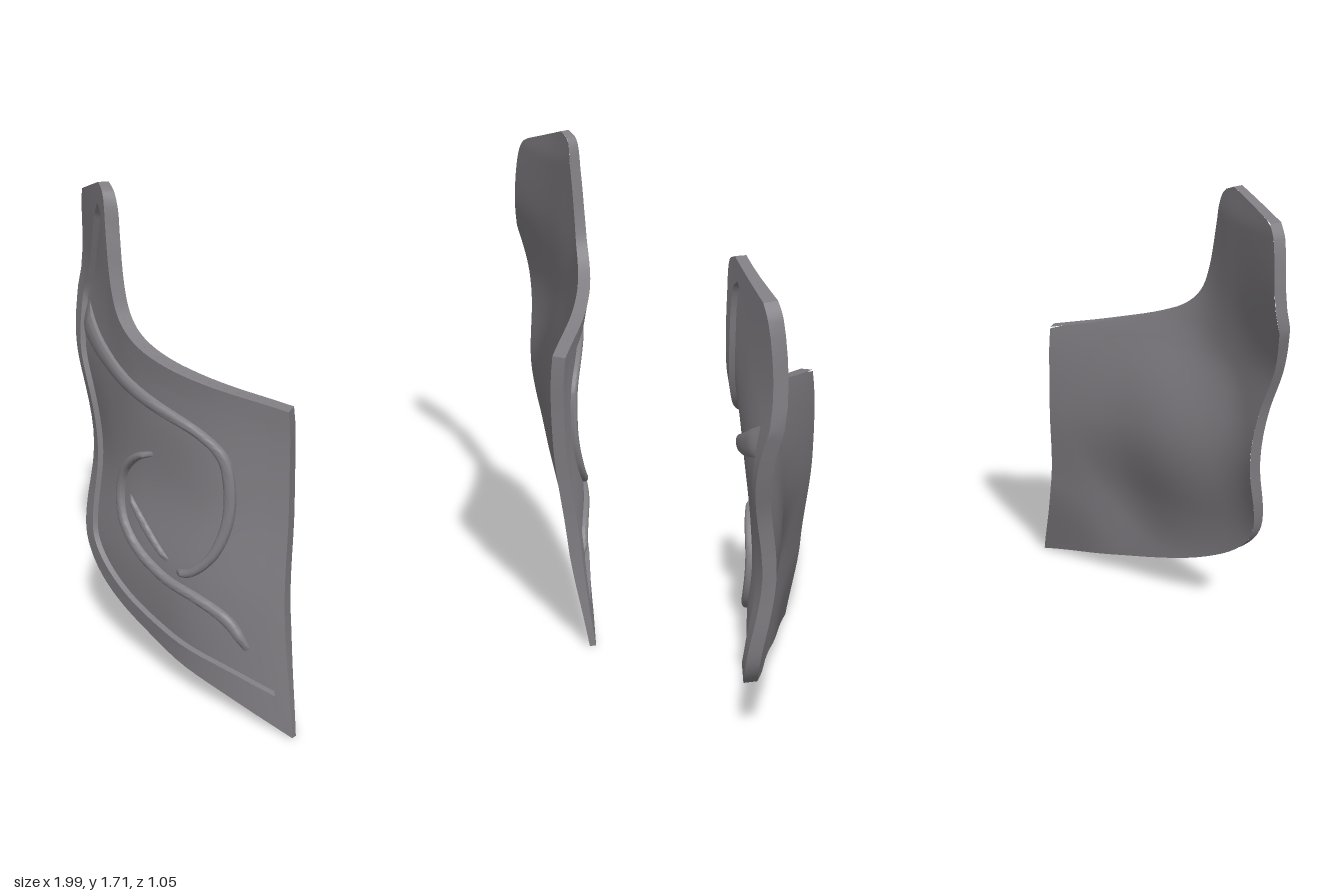
import * as THREE from 'three';
import { toCreasedNormals } from 'three/addons/utils/BufferGeometryUtils.js';

// Panel rim: [outer z, outer y, inner z, inner y], from the lower tip up the front and round
const RIM_POINTS = [
  [0.525, 0.005, 0.445, 0.125], [0.45, 0.28, 0.395, 0.32], [0.39, 0.6, 0.335, 0.62],
  [0.365, 0.86, 0.315, 0.85], [0.36, 1.08, 0.31, 1.03], [0.2, 1.13, 0.16, 1.07],
  [0.07, 1.18, 0.02, 1.12], [-0.03, 1.24, -0.07, 1.19], [-0.09, 1.31, -0.12, 1.28],
  [-0.125, 1.41, -0.16, 1.4], [-0.155, 1.56, -0.195, 1.57], [-0.185, 1.685, -0.22, 1.62],
  [-0.235, 1.71, -0.255, 1.64], [-0.46, 1.64, -0.3, 1.59], [-0.49, 1.59, -0.33, 1.53],
  [-0.525, 1.29, -0.455, 1.28], [-0.47, 1.1, -0.43, 1.1], [-0.43, 0.95, -0.39, 0.95],
  [-0.41, 0.7, -0.36, 0.7], [-0.4, 0.55, -0.345, 0.55], [-0.37, 0.42, -0.32, 0.44],
  [-0.3, 0.325, -0.25, 0.36], [-0.15, 0.225, -0.1, 0.265], [0.05, 0.14, 0.08, 0.205],
  [0.28, 0.075, 0.27, 0.165], [0.525, 0.005, 0.445, 0.125]
];
const CORNERS = [0, 4, 12, 13, 15, 25];

// Smooth the rim between its corners
const RIM = [];
let APEX = 0;
for (let c = 0; c < CORNERS.length - 1; c++) {
  const part = RIM_POINTS.slice(CORNERS[c], CORNERS[c + 1] + 1);
  const curve = k => new THREE.CatmullRomCurve3(
    part.map(p => new THREE.Vector3(p[k], p[k + 1], 0)), false, 'centripetal');
  const outer = curve(0), inner = curve(2), n = (part.length - 1) * 5;
  if (CORNERS[c] === 12) APEX = RIM.length;
  for (let i = 0; i < n; i++) {
    const a = outer.getPoint(i / n), b = inner.getPoint(i / n);
    RIM.push([a.x, a.y, b.x, b.y]);
  }
}

// Distance of the curved outer face from the centre, by height and depth
const ZS = [-0.5, -0.25, -0.05, 0.15, 0.35, 0.55];
const YS = [0, 0.4, 0.75, 1.1, 1.4, 1.75];
const XS = [
  [1.0, 0.96, 0.89, 0.82, 0.715, 0.585],
  [1.02, 0.97, 0.9, 0.8, 0.635, 0.46],
  [0.93, 0.92, 0.86, 0.74, 0.545, 0.36],
  [0.945, 0.92, 0.865, 0.725, 0.52, 0.32],
  [0.885, 0.9, 0.89, 0.8, 0.6, 0.4],
  [0.875, 0.88, 0.88, 0.85, 0.75, 0.6]
];

// Smooth interpolation of values vs at the positions ps
function spline(ps, vs, p) {
  let i = 0;
  while (i < ps.length - 2 && p > ps[i + 1]) i++;
  const slope = k => {
    const a = Math.max(k - 1, 0), b = Math.min(k + 1, ps.length - 1);
    return (vs[b] - vs[a]) / (ps[b] - ps[a]);
  };
  const h = ps[i + 1] - ps[i], t = (p - ps[i]) / h, t2 = t * t, t3 = t2 * t;
  return (2 * t3 - 3 * t2 + 1) * vs[i] + (t3 - 2 * t2 + t) * h * slope(i) +
    (3 * t2 - 2 * t3) * vs[i + 1] + (t3 - t2) * h * slope(i + 1);
}
const baseX = (z, y) => spline(YS, XS.map(row => spline(ZS, row, z)), y);

// Point on the outer face, moved along its normal by d
function onFace(z, y, d) {
  const e = 0.01, x = baseX(z, y);
  const n = new THREE.Vector3(1,
    -(baseX(z, y + e) - baseX(z, y - e)) / (2 * e),
    -(baseX(z + e, y) - baseX(z - e, y)) / (2 * e)).normalize();
  return new THREE.Vector3(x, y, z).addScaledVector(n, d);
}

// Grid of nu by nv cells; flip turns its front round, side -1 mirrors it
function gridGeometry(nu, nv, fn, side, flip = false) {
  const pos = [], idx = [];
  for (let j = 0; j <= nv; j++) for (let i = 0; i <= nu; i++) {
    const p = fn(i, j);
    pos.push(p.x * side, p.y, p.z);
  }
  const reverse = flip !== (side < 0);
  for (let j = 0; j < nv; j++) for (let i = 0; i < nu; i++) {
    const a = j * (nu + 1) + i, b = a + 1, c = b + nu + 1, d = a + nu + 1;
    if (reverse) idx.push(a, c, b, a, d, c);
    else idx.push(a, b, c, a, c, d);
  }
  const g = new THREE.BufferGeometry();
  g.setAttribute('position', new THREE.Float32BufferAttribute(pos, 3));
  g.setIndex(idx);
  return toCreasedNormals(g, 0.6);
}

// Depth of an outline chain at height y
function chainZ(chain, y) {
  let i = 0;
  while (i < chain.length - 2 && y > chain[i + 1][1]) i++;
  const [z0, y0] = chain[i], [z1, y1] = chain[i + 1];
  return THREE.MathUtils.lerp(z0, z1, THREE.MathUtils.clamp((y - y0) / (y1 - y0), 0, 1));
}
const FRONT = RIM.slice(0, APEX + 1);
const BACK = [RIM[0], ...RIM.slice(APEX).reverse()];
const ROWS = 110, COLS = 40, RECESS = 0.018;

function sheet(side, depth, flip) {
  return gridGeometry(COLS, ROWS, (i, j) => {
    const y = THREE.MathUtils.lerp(RIM[0][1], RIM[APEX][1], j / ROWS);
    const z = THREE.MathUtils.lerp(chainZ(FRONT, y), chainZ(BACK, y), i / COLS);
    return onFace(z, y, -depth(z, y));
  }, side, flip);
}

// Soft swelling, 1 at the middle and 0 at radius
function swell(z, y, z0, y0, rz, ry) {
  const q = Math.max(0, 1 - ((z - z0) / rz) ** 2 - ((y - y0) / ry) ** 2);
  return q * q;
}
// Wall thins at the lower tip and the top; the lining is fuller in the middle
const thickness = (z, y) => 0.045 - 0.022 * swell(z, y, 0.525, 0, 0.3, 0.4) -
  0.015 * swell(z, y, -0.33, 1.75, 0.35, 0.16);
const dish = (z, y) => RECESS + 0.012 * swell(z, y, 0.04, 0.7, 0.2, 0.27);
const lining = (z, y) => thickness(z, y) + 0.065 * swell(z, y, -0.04, 0.68, 0.37, 0.5);

// Raised border with its outer wall and inner step
function rim(side) {
  return gridGeometry(3, RIM.length, (i, j) => {
    const [z, y, zi, yi] = RIM[j % RIM.length];
    if (i === 0) return onFace(z, y, -thickness(z, y));
    if (i === 1) return onFace(z, y, 0);
    if (i === 2) return onFace(zi, yi, 0);
    return onFace(z + (zi - z) * 1.06, y + (yi - y) * 1.06, -RECESS - 0.004);
  }, side);
}

// Rounded ridge lying on the face; points are [z, y, half width]
function ridge(points, height, side) {
  const curve = new THREE.CatmullRomCurve3(points.map(p => new THREE.Vector3(p[0], p[1], p[2])));
  const n = points.length * 7, m = 8;
  return gridGeometry(m, n, (i, j) => {
    const p = curve.getPoint(j / n), t = curve.getTangent(j / n);
    const len = Math.hypot(t.x, t.y), a = Math.PI * i / m;
    const w = -Math.cos(a) * p.z / len;
    const end = Math.min(1, Math.min(j, n - j) / 4);
    const z = p.x - t.y * w, y = p.y + t.x * w;
    return onFace(z, y, -dish(z, y) - 0.004 + Math.sqrt(Math.max(0, Math.sin(a))) * height * end);
  }, side);
}

// Long sweep from the back edge, curling into the open loop
const LOOP = [
  [-0.475, 1.24, 0.052], [-0.3, 1.155, 0.038], [-0.15, 1.09, 0.028], [0, 1.025, 0.022],
  [0.14, 0.955, 0.016], [0.2, 0.89, 0.015], [0.225, 0.76, 0.015], [0.222, 0.63, 0.015],
  [0.195, 0.535, 0.015], [0.14, 0.47, 0.015], [0.085, 0.455, 0.01]
];
const BAR = [[0.06, 0.475, 0.008], [-0.02, 0.535, 0.013], [-0.09, 0.6, 0.013], [-0.15, 0.665, 0.006]];
const HOOK = [
  [-0.025, 0.842, 0.008], [-0.1, 0.81, 0.013], [-0.17, 0.74, 0.016], [-0.19, 0.655, 0.018],
  [-0.16, 0.56, 0.018], [-0.08, 0.48, 0.018], [0.04, 0.42, 0.018], [0.17, 0.385, 0.018],
  [0.27, 0.33, 0.018], [0.34, 0.235, 0.01]
];

export function createModel() {
  const model = new THREE.Group();
  const grey = new THREE.MeshStandardMaterial({ color: 0x807d82 });
  grey.name = 'warmGrey';

  for (const side of [1, -1]) {
    const panel = new THREE.Group();
    panel.name = side > 0 ? 'leftPanel' : 'rightPanel';
    const add = (name, geometry) => {
      const mesh = new THREE.Mesh(geometry, grey);
      mesh.name = name;
      panel.add(mesh);
    };
    add('recessedFace', sheet(side, dish, false));
    add('innerFace', sheet(side, lining, true));
    add('raisedRim', rim(side));
    add('loopRidge', ridge(LOOP, 0.024, side));
    add('barRidge', ridge(BAR, 0.016, side));
    add('hookRidge', ridge(HOOK, 0.024, side));
    model.add(panel);
  }
  return model;
}
